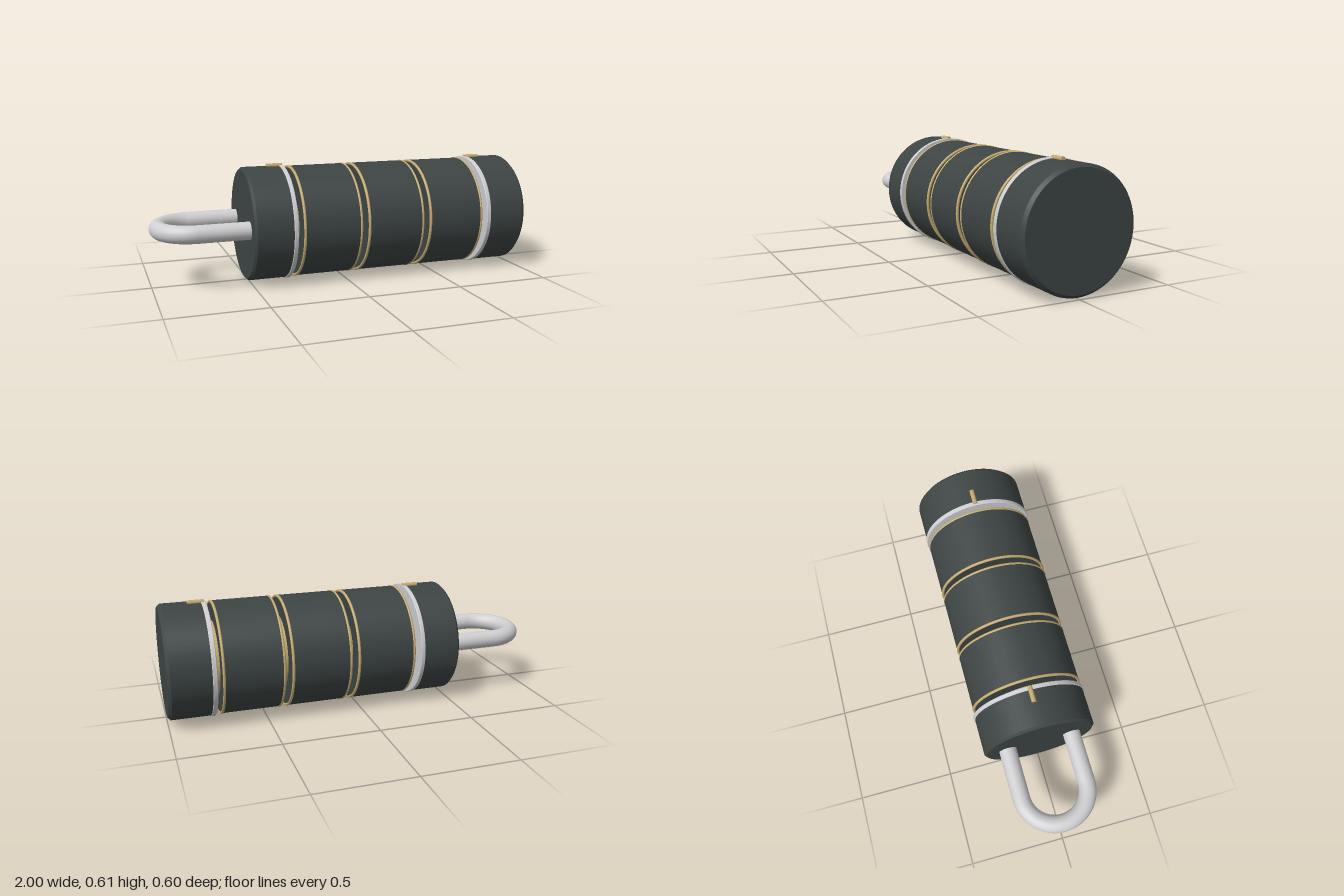
import * as THREE from 'three';

export function createModel() {
  const group = new THREE.Group();
  const mat = (name, color) => {
    const m = new THREE.MeshStandardMaterial({ color });
    m.name = name;
    return m;
  };
  const dark = mat('dark enamel', 0x3d4544);
  const gold = mat('brass', 0xc6ab72);
  const silver = mat('steel', 0xcfcfd1);
  const CY = 0.303; // height of the long axis

  const add = (name, geo, material) => {
    const mesh = new THREE.Mesh(geo, material);
    mesh.name = name;
    group.add(mesh);
    return mesh;
  };

  // Solid turned about the x axis; profile points are [x, radius] from -x to +x.
  // Each band is its own lathe section so that the edges stay crisp.
  const turned = (name, profile, material) => {
    const part = new THREE.Group();
    part.name = name;
    for (let i = 0; i < profile.length - 1; i++) {
      const pts = [profile[i], profile[i + 1]].map(([x, r]) => new THREE.Vector2(r, x));
      const geo = new THREE.LatheGeometry(pts, 72);
      geo.rotateZ(-Math.PI / 2);
      geo.translate(0, CY, 0);
      const mesh = new THREE.Mesh(geo, material);
      mesh.name = name + 'Face';
      part.add(mesh);
    }
    group.add(part);
  };
  const disc = (name, x0, x1, r, material, b0 = 0.003, b1 = b0) =>
    turned(name, [[x0, 0], [x0, r - b0], [x0 + b0, r], [x1 - b1, r], [x1, r - b1], [x1, 0]], material);

  // Inner spindle
  disc('spindle', -0.31, 0.77, 0.193, gold);

  // End caps with bevelled outer rims
  disc('shackleCap', -0.52, -0.318, 0.297, dark, 0.012, 0.002);
  disc('endCap', 0.784, 1.0, 0.297, dark, 0.002, 0.015);

  // Steel collars on the inner side of each cap
  disc('shackleCollar', -0.322, -0.3, 0.302, silver);
  disc('endCollar', 0.762, 0.786, 0.302, silver);

  // Three rotating dials, each with a brass rim at both ends
  for (let i = 0; i < 3; i++) {
    const x0 = -0.27 + i * 0.346, x1 = x0 + 0.315;
    disc('dial', x0 + 0.003, x1 - 0.003, 0.293, dark);
    for (const x of [x0 + 0.0075, x1 - 0.0075]) {
      const rim = new THREE.TorusGeometry(0.289, 0.0075, 10, 72);
      rim.rotateY(Math.PI / 2);
      rim.translate(x, CY, 0);
      add('dialRim', rim, gold);
    }
  }

  // Brass index marks along the top
  for (const x of [-0.345, 0.813]) {
    const mark = new THREE.CylinderGeometry(0.013, 0.013, 0.085, 8, 1, false, Math.PI / 8);
    mark.rotateZ(Math.PI / 2);
    mark.translate(x, 0.602, 0);
    add('indexMark', mark, gold);
  }

  // U-shaped shackle: two straight legs joined by a half ring
  const R = 0.173, bendX = -0.781, legEnd = -0.5, tube = 0.046;
  const bend = new THREE.TorusGeometry(R, tube, 24, 40, Math.PI);
  bend.rotateX(Math.PI / 2);
  bend.rotateY(Math.PI / 2);
  // make sure the arc opens toward +x
  bend.computeBoundingBox();
  if (bend.boundingBox.max.x > 0.1) bend.rotateY(Math.PI);
  bend.translate(bendX, CY + 0.001, 0);
  add('shackleBend', bend, silver);
  for (const side of [-1, 1]) {
    const leg = new THREE.CylinderGeometry(tube, tube, legEnd - bendX, 24);
    leg.rotateZ(Math.PI / 2);
    leg.translate((legEnd + bendX) / 2, CY + 0.001, side * R);
    add('shackleLeg', leg, silver);
  }

  return group;
}
